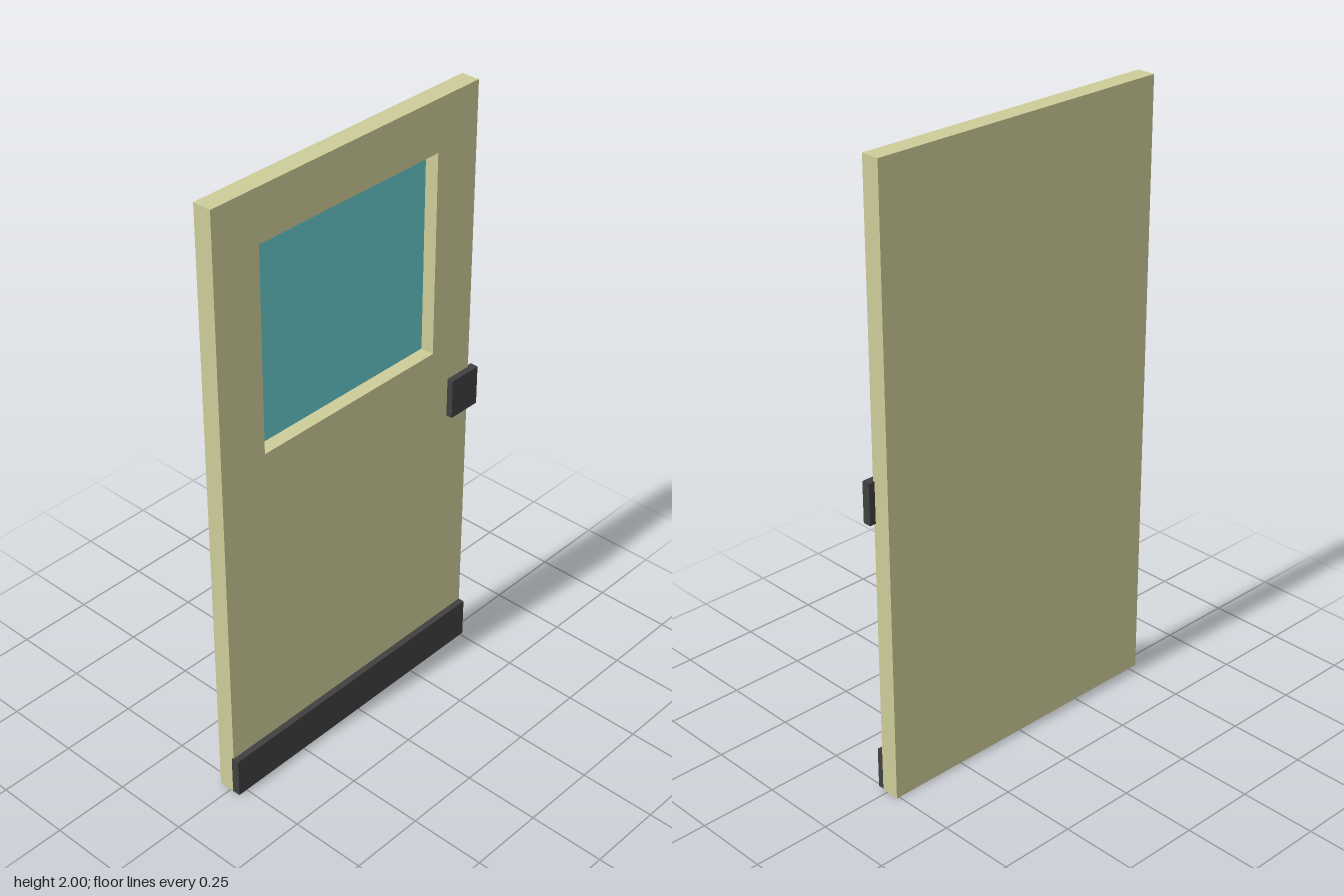
import * as THREE from 'three';

const cream = new THREE.MeshStandardMaterial({ color: 0xcccc99 });
const blue = new THREE.MeshStandardMaterial({ color: 0x66c6cc });
const dark = new THREE.MeshStandardMaterial({ color: 0x404040 });

// Rectangle corners, counter-clockwise
const rect = (x0, x1, y0, y1) =>
  [[x0, y0], [x1, y0], [x1, y1], [x0, y1]].map(([x, y]) => new THREE.Vector2(x, y));

// Box given by its limits on each axis
function box(name, [x0, x1], [y0, y1], [z0, z1], material) {
  const mesh = new THREE.Mesh(new THREE.BoxGeometry(x1 - x0, y1 - y0, z1 - z0), material);
  mesh.position.set((x0 + x1) / 2, (y0 + y1) / 2, (z0 + z1) / 2);
  mesh.name = name;
  return mesh;
}

export function createModel() {
  const door = new THREE.Group();
  door.name = 'door';

  const back = -0.043, front = 0.018, recess = -0.027;
  const winX = [-0.365, 0.343], winY = [1.17, 1.833];

  // Door leaf with the window opening
  const shape = new THREE.Shape(rect(-0.532, 0.51, 0, 2));
  shape.holes.push(new THREE.Path(rect(...winX, ...winY).reverse()));
  const leaf = new THREE.Mesh(
    new THREE.ExtrudeGeometry(shape, { depth: front - back, bevelEnabled: false }), cream);
  leaf.position.z = back;
  leaf.name = 'doorLeaf';
  door.add(leaf);

  // Closed back behind the window, with the recessed pane in front of it
  door.add(box('windowBacking', winX, winY, [back, recess - 0.004], cream));
  door.add(box('windowPane', winX, winY, [recess - 0.004, recess], blue));

  // Kick plate and handle plate, proud of the front face
  door.add(box('kickPlate', [-0.534, 0.509], [0.003, 0.138], [0.012, 0.039], dark));
  door.add(box('handlePlate', [0.415, 0.531], [0.914, 1.047], [0.012, 0.039], dark));

  return door;
}
